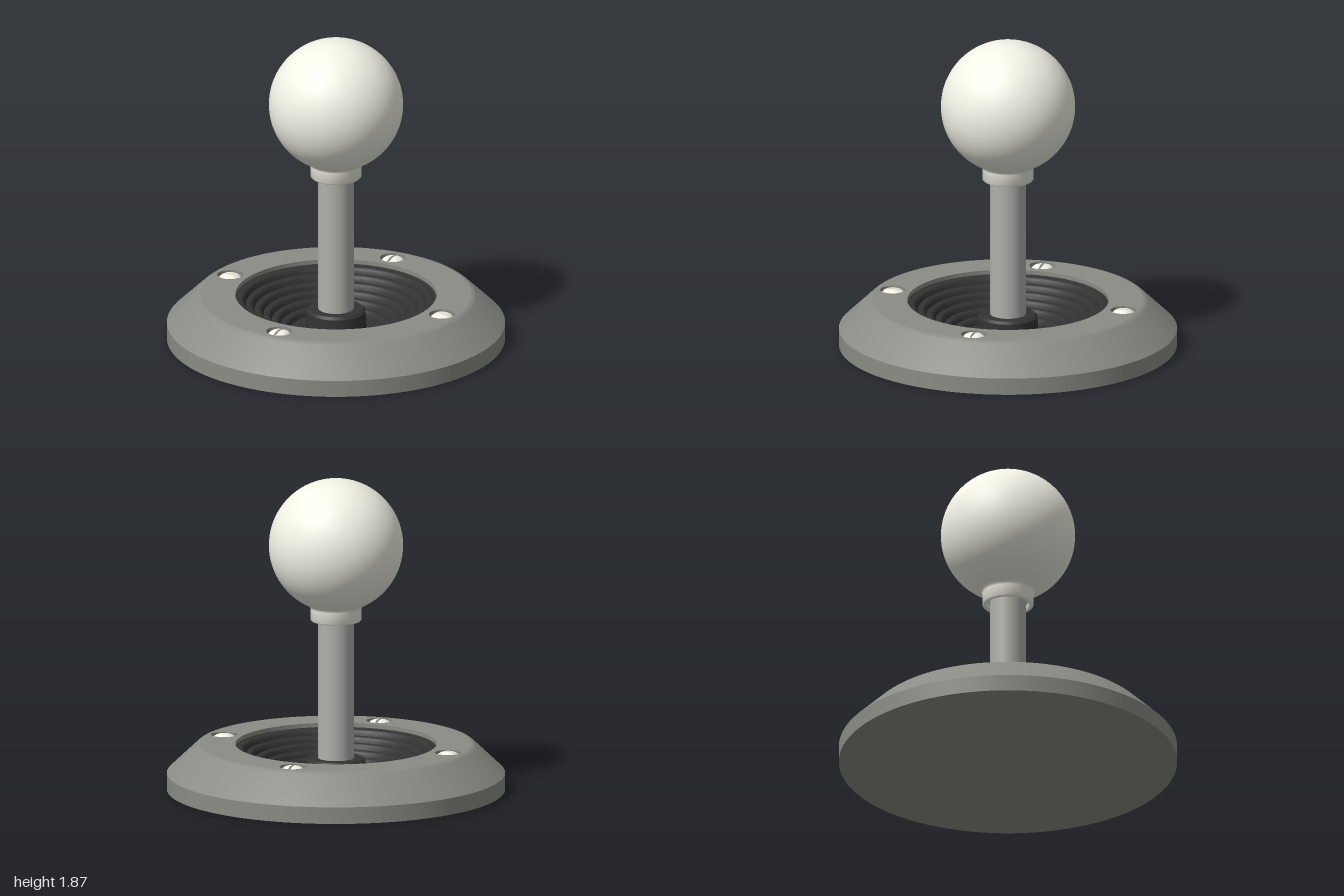
import * as THREE from 'three';
import { toCreasedNormals } from 'three/addons/utils/BufferGeometryUtils.js';

const mat = (color) => new THREE.MeshStandardMaterial({ color });
const baseMat = mat(0x8c8c86);
const shaftMat = mat(0xb0b0ac);
const ivoryMat = mat(0xf2f2e6);
const rubberMat = mat(0x333333);

const TOP = 0.275;      // height of the base plate
const WELL = 0.595;     // radius of the central opening
const SCREW_R = 0.71;   // distance of the screws from the axis
const RECESS = 0.076;   // radius of the screw recesses

const points = (list) => list.map(([x, y]) => new THREE.Vector2(x, y));

function lathe(list, segments = 96, crease = 0.5) {
  return toCreasedNormals(new THREE.LatheGeometry(points(list), segments), crease);
}

function add(parent, name, geometry, material) {
  const mesh = new THREE.Mesh(geometry, material);
  mesh.name = name;
  parent.add(mesh);
  return mesh;
}

// Screw head made of two half domes with a slot between them
function createScrew() {
  const screw = new THREE.Group();
  screw.name = 'screw';
  const r = 0.065, gap = 0.008;
  const profile = [[r, 0.23], [r, 0.252]];
  for (let i = 1; i <= 6; i++) {
    const a = (i / 6) * Math.PI / 2;
    profile.push([r * Math.cos(a), 0.252 + 0.03 * Math.sin(a)]);
  }
  const dome = toCreasedNormals(
    new THREE.LatheGeometry(points(profile), 20, 0, Math.PI), 0.7);
  dome.scale((r - gap) / r, 1, 1).translate(gap, 0, 0);
  const outline = [...profile, ...profile.slice(0, -1).reverse().map(([x, y]) => [-x, y])];
  const wall = new THREE.ShapeGeometry(new THREE.Shape(points(outline)));
  wall.rotateY(-Math.PI / 2).translate(gap, 0, 0);
  for (const turn of [0, Math.PI]) {
    const half = new THREE.Group();
    half.name = 'screwHalf';
    add(half, 'screwDome', dome, ivoryMat);
    add(half, 'slotWall', wall, ivoryMat);
    half.rotation.y = turn;
    screw.add(half);
  }
  const floor = new THREE.BoxGeometry(gap * 2, 0.03, r * 1.94).translate(0, 0.245, 0);
  add(screw, 'slotFloor', floor, ivoryMat);
  // Recess around the head
  add(screw, 'screwRecess', lathe([[RECESS, TOP], [RECESS, 0.23], [0, 0.23]], 32), baseMat);
  return screw;
}

export function createModel() {
  const model = new THREE.Group();
  model.name = 'joystick';

  // Base body: underside, rim and bevel
  const base = new THREE.Group();
  base.name = 'base';
  model.add(base);
  add(base, 'baseBody', lathe([
    [0, 0], [1, 0], [1, 0.1], [0.83, 0.262], [0.818, 0.271], [0.8, TOP],
  ]), baseMat);

  // Flat top with the well and screw openings cut out
  const plate = new THREE.Shape().absarc(0, 0, 0.8, 0, Math.PI * 2);
  const cut = (x, y, r) =>
    plate.holes.push(new THREE.Path().absarc(x, y, r, 0, Math.PI * 2, true));
  cut(0, 0, WELL);
  for (let i = 0; i < 4; i++) {
    const a = (i * Math.PI) / 2;
    cut(SCREW_R * Math.sin(a), SCREW_R * Math.cos(a), RECESS);
    const screw = createScrew();
    screw.position.set(SCREW_R * Math.sin(a), 0, SCREW_R * Math.cos(a));
    screw.rotation.y = a;
    base.add(screw);
  }
  const plateGeo = new THREE.ShapeGeometry(plate, 48);
  plateGeo.rotateX(-Math.PI / 2).translate(0, TOP, 0);
  add(base, 'topPlate', plateGeo, baseMat);
  add(base, 'wellWall', lathe([[WELL, TOP], [WELL, 0.24]]), baseMat);

  // Rubber boot: rippled bowl sinking to a floor, with a collar round the shaft
  const boot = [[WELL, 0.25]];
  const rings = 6, steps = 8;
  for (let i = 0; i <= rings * steps; i++) {
    const t = i / (rings * steps);
    const ripple = 0.016 * Math.abs(Math.sin(t * rings * Math.PI));
    boot.push([0.585 - 0.31 * t - ripple * 0.5, 0.245 - 0.19 * t + ripple]);
  }
  boot.push([0.18, 0.055], [0.175, 0.175], [0.16, 0.19], [0.1, 0.19]);
  add(model, 'rubberBoot', lathe(boot, 96, 0.6), rubberMat);

  // Shaft
  const shaft = new THREE.CylinderGeometry(0.105, 0.105, 1.06, 48).translate(0, 0.59, 0);
  add(model, 'shaft', shaft, shaftMat);

  // Ball knob with a short hollow neck blending into the ball
  const knob = [
    [0.105, 1.05], [0.122, 1.045], [0.126, 1.022], [0.132, 1.017],
    [0.143, 1.017], [0.151, 1.025], [0.151, 1.092], [0.155, 1.104],
  ];
  for (let i = 0; i <= 48; i++) {
    const a = 0.43 + (Math.PI - 0.43) * (i / 48);
    knob.push([Math.max(0, 0.397 * Math.sin(a)), 1.473 - 0.397 * Math.cos(a)]);
  }
  add(model, 'ballKnob', lathe(knob, 64, 0.8), ivoryMat);

  return model;
}
